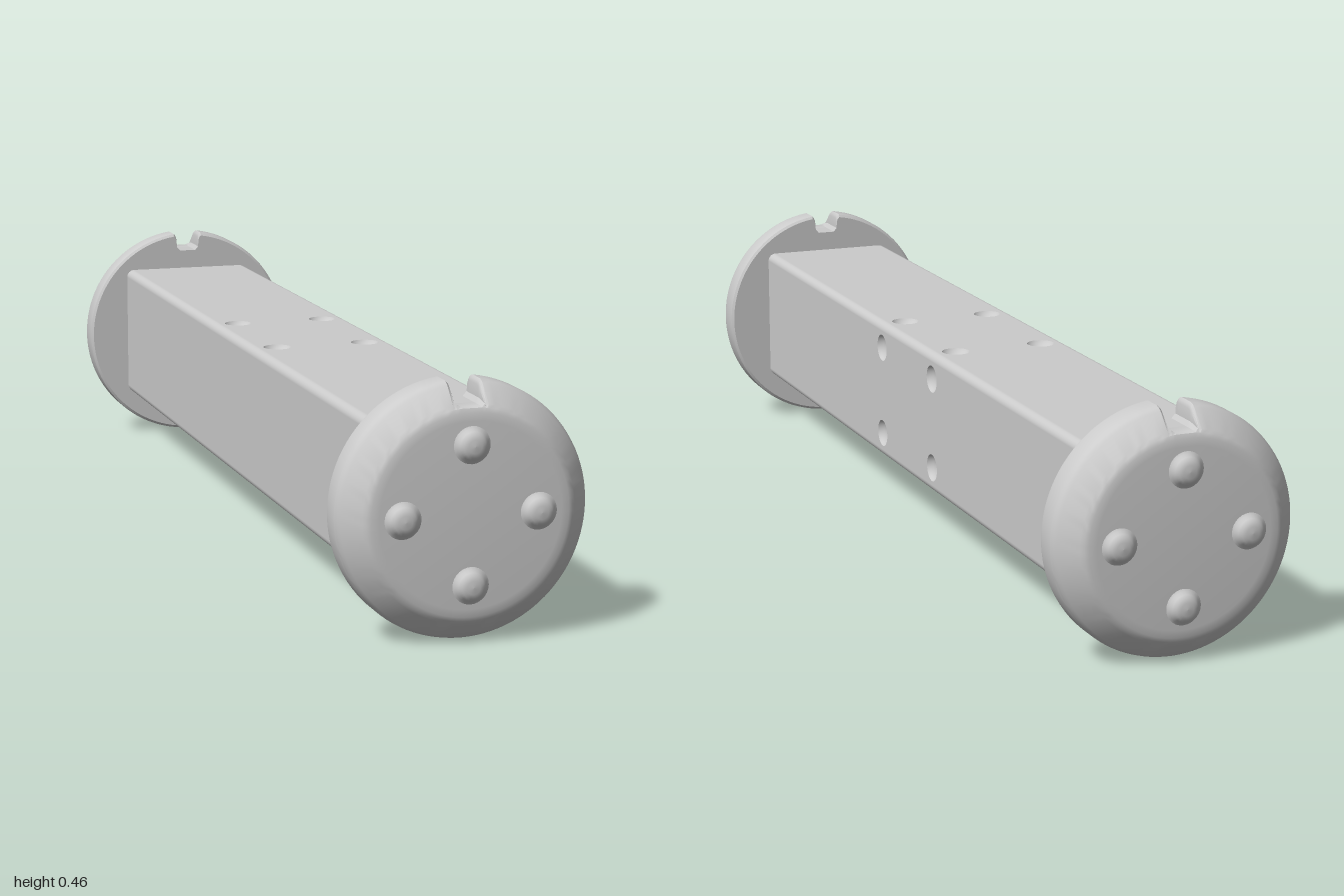
import * as THREE from 'three';
import { toCreasedNormals } from 'three/addons/utils/BufferGeometryUtils.js';

const mat = new THREE.MeshStandardMaterial({ color: 0xcccccc });
const CAP_R = 0.229, BEAM_HALF = 0.141, BEAM_LEN = 1.78, EDGE = 0.016;
const DIMPLE_R = 0.027;

function add(parent, name, geometry) {
  const mesh = new THREE.Mesh(geometry, mat);
  mesh.name = name;
  parent.add(mesh);
  return mesh;
}

function lathe(points, segments) {
  return new THREE.LatheGeometry(points.map(([x, y]) => new THREE.Vector2(x, y)), segments);
}

// Circle outline of radius r, clockwise from the notch at the top, notch included
function notchedRing(r, steps = 96) {
  const w = 0.026, lip = 0.006, floor = 0.188;
  const start = Math.asin(Math.min(1, (w + lip) / Math.max(r, 0.1)));
  const pts = [];
  for (let i = 0; i <= steps; i++) {
    const t = start + (i / steps) * 2 * (Math.PI - start);
    pts.push([r * Math.sin(t), r * Math.cos(t)]);
  }
  const half = [[w + 0.002, r - lip], [w, r - 2 * lip], [w - 0.001, floor + 0.008], [w - 0.008, floor]];
  const notch = [...half.map(([x, y]) => [-x, y]), ...half.slice().reverse()];
  for (const [x, y] of notch) {
    const onCircle = Math.sqrt(Math.max(0, r * r - x * x));
    pts.push(r === 0 ? [0, 0] : [x, Math.min(onCircle, Math.max(y, floor))]);
  }
  return pts;
}

// Round end cap: rings of [radius, z] skinned from the inner face to the outer face
function capGeometry() {
  const profile = [[0, 0.885], [0.18, 0.885], [0.223, 0.885], [0.228, 0.889], [CAP_R, 0.895], [CAP_R, 0.93],
    [0.227, 0.938], [0.222, 0.945], [0.193, 0.974], [0.187, 0.979], [0.179, 0.982], [0.165, 0.983], [0, 0.983]];
  const pos = [], index = [];
  let n = 0;
  profile.forEach(([r, z]) => {
    const ring = notchedRing(r);
    n = ring.length;
    ring.forEach(([x, y]) => pos.push(x, y, z));
  });
  for (let i = 0; i < profile.length - 1; i++) {
    for (let j = 0; j < n; j++) {
      const k = (j + 1) % n;
      const a = i * n + j, b = i * n + k, c = b + n, d = a + n;
      index.push(a, d, b, b, d, c);
    }
  }
  const g = new THREE.BufferGeometry();
  g.setAttribute('position', new THREE.Float32BufferAttribute(pos, 3));
  g.setIndex(index);
  return toCreasedNormals(g, 0.6);
}

function createCap() {
  const cap = new THREE.Group();
  add(cap, 'capDisc', capGeometry());
  // Four domed studs on the outer face
  const stud = lathe([[0.034, 0], [0.029, 0.003], [0.025, 0.009], [0.02, 0.014], [0.012, 0.0165], [0, 0.0175]], 28);
  stud.rotateX(Math.PI / 2);
  for (let i = 0; i < 4; i++) {
    const a = (i * Math.PI) / 2;
    add(cap, 'stud', stud).position.set(0.123 * Math.sin(a), 0.123 * Math.cos(a), 0.9825);
  }
  return cap;
}

// One long side of the beam, facing +y, with its rounded edge
function createSide(dimpled) {
  const side = new THREE.Group();
  const w = BEAM_HALF - EDGE, l = BEAM_LEN / 2;
  const shape = new THREE.Shape([[-w, -l], [w, -l], [w, l], [-w, l]].map(([x, y]) => new THREE.Vector2(x, y)));
  if (dimpled) {
    // Shallow round dishes set into holes in the panel
    const dish = lathe([[DIMPLE_R, 0], [0.024, -0.005], [0.018, -0.01], [0.009, -0.013], [0, -0.014]], 28);
    for (const x of [-0.09, 0.09]) {
      for (const z of [-0.14, 0.14]) {
        const hole = new THREE.Path();
        hole.absarc(x, z, DIMPLE_R, 0, Math.PI * 2, true);
        shape.holes.push(hole);
        add(side, 'dimple', dish).position.set(x, BEAM_HALF, z);
      }
    }
  }
  const panel = new THREE.ShapeGeometry(shape, 14);
  panel.rotateX(-Math.PI / 2);
  add(side, 'beamPanel', panel).position.y = BEAM_HALF;
  const edge = new THREE.CylinderGeometry(EDGE, EDGE, BEAM_LEN, 6, 1, true, Math.PI / 2, Math.PI / 2);
  edge.rotateX(Math.PI / 2);
  add(side, 'beamEdge', edge).position.set(w, w, 0);
  return side;
}

export function createModel() {
  const model = new THREE.Group();
  model.name = 'cappedBeam';

  // Square beam: dimples on the top and on the +x side
  const beam = new THREE.Group();
  beam.name = 'beam';
  beam.position.set(-0.002, 0.237, 0);
  for (let i = 0; i < 4; i++) {
    const side = createSide(i < 2);
    side.name = ['topSide', 'leftSide', 'bottomSide', 'rightSide'][i];
    side.rotation.z = (-i * Math.PI) / 2;
    beam.add(side);
  }
  model.add(beam);

  // Matching caps at both ends
  ['frontCap', 'backCap'].forEach((name, i) => {
    const cap = createCap();
    cap.name = name;
    cap.position.y = CAP_R + 0.001;
    cap.rotation.y = i * Math.PI;
    model.add(cap);
  });
  return model;
}
